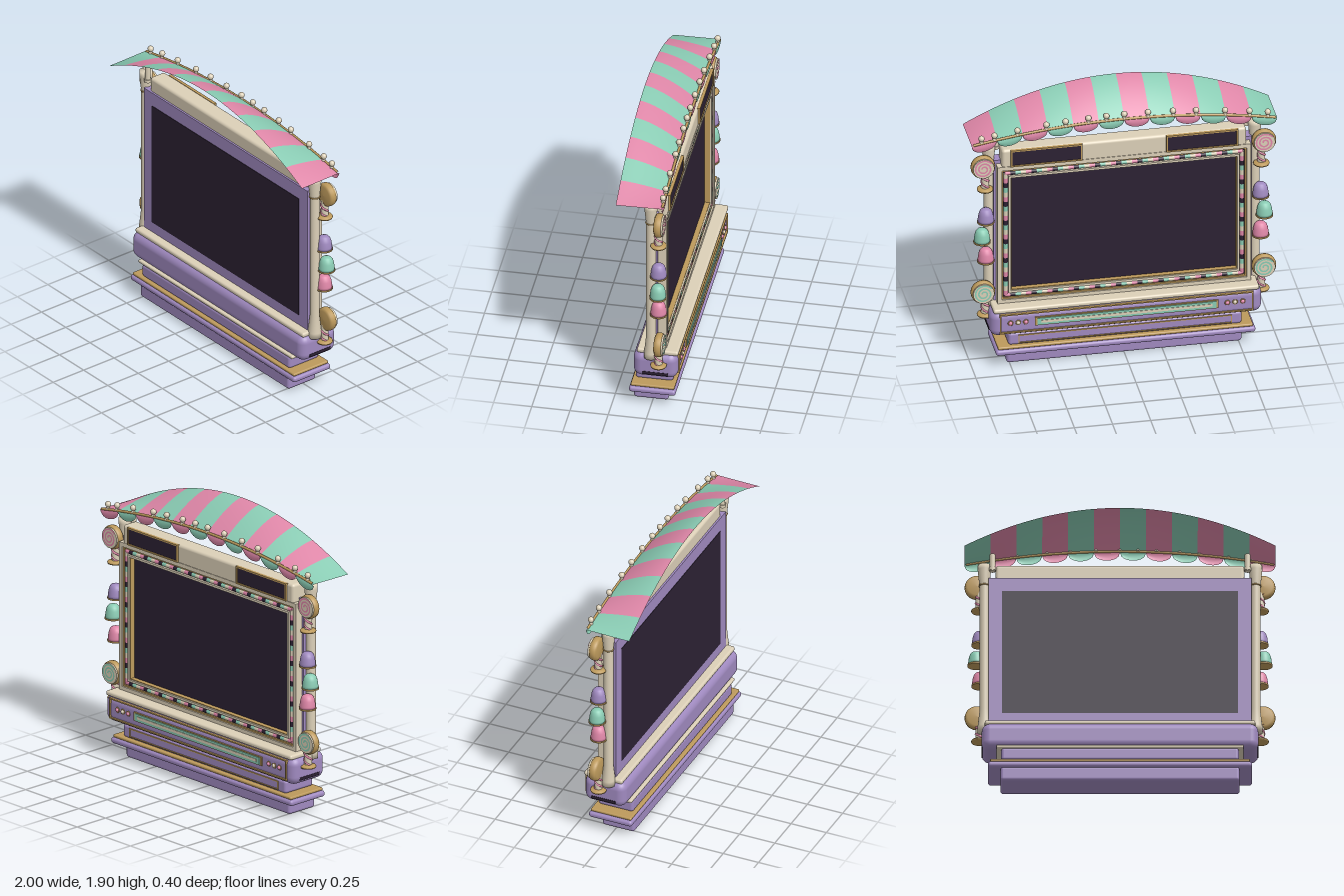
import * as THREE from 'three';
import { RoundedBoxGeometry } from 'three/addons/geometries/RoundedBoxGeometry.js';

const mat = (name, color, side = THREE.FrontSide) => {
  const m = new THREE.MeshStandardMaterial({ color, side });
  m.name = name;
  return m;
};

export function createModel() {
  const root = new THREE.Group();
  const purple = mat('lavender', 0xa08ac0);
  const cream = mat('cream', 0xdcd0b8);
  const gold = mat('gold', 0xbd9a5c);
  const dark = mat('dark plum', 0x2c2133);
  const pink = mat('pink', 0xdf87a8, THREE.DoubleSide);
  const green = mat('mint', 0x8accb4, THREE.DoubleSide);

  const add = (name, geo, material, x = 0, y = 0, z = 0, parent = root) => {
    const m = new THREE.Mesh(geo, material);
    m.name = name;
    m.position.set(x, y, z);
    parent.add(m);
    return m;
  };
  // box from half width, y range and z range, with rounded edges when r > 0
  const block = (name, material, hw, y0, y1, z0, z1, r = 0, x = 0) => {
    const s = [hw * 2, y1 - y0, z1 - z0];
    const geo = r ? new RoundedBoxGeometry(...s, 4, r) : new THREE.BoxGeometry(...s);
    return add(name, geo, material, x, (y0 + y1) / 2, (z0 + z1) / 2);
  };
  const lathe = (pts, n = 32) => new THREE.LatheGeometry(pts.map(p => new THREE.Vector2(...p)), n);
  const cyl = (rt, rb, h, n = 24) => new THREE.CylinderGeometry(rt, rb, h, n);

  // rectangular ring of border width w, from z0 (back) to z1
  const ring = (name, material, cx, cy, hw, hh, w, z0, z1) => {
    const rect = (P, a, b) => new P().moveTo(-a, -b).lineTo(a, -b).lineTo(a, b).lineTo(-a, b).closePath();
    const s = rect(THREE.Shape, hw, hh);
    s.holes.push(rect(THREE.Path, hw - w, hh - w));
    add(name, new THREE.ExtrudeGeometry(s, { depth: z1 - z0, bevelEnabled: false }), material, cx, cy, z0);
  };

  // stepped base
  block('baseFoot', purple, 0.77, 0, 0.1, -0.1, 0.128, 0.02);
  block('baseStep', purple, 0.85, 0.09, 0.13, -0.16, 0.145, 0.018);
  block('baseGoldTrim', gold, 0.835, 0.13, 0.15, -0.15, 0.135, 0.008);
  block('baseNeck', purple, 0.765, 0.148, 0.238, -0.13, 0.117, 0.02);
  block('neckTrim', cream, 0.795, 0.235, 0.257, -0.12, 0.12, 0.008);
  ring('neckGoldOutline', gold, 0, 0.192, 0.7, 0.03, 0.007, -0.136, -0.128);

  // console
  block('console', purple, 0.89, 0.24, 0.425, -0.178, 0.112, 0.055);
  block('consoleTop', cream, 0.87, 0.415, 0.448, -0.182, 0.088, 0.014);
  ring('consoleGoldOutline', gold, 0, 0.34, 0.83, 0.07, 0.009, -0.188, -0.17);
  block('stripBorder', gold, 0.6, 0.312, 0.372, -0.187, -0.172);
  block('strip', green, 0.585, 0.318, 0.366, -0.193, -0.184);
  block('stripInset', cream, 0.56, 0.333, 0.351, -0.196, -0.19);
  for (const s of [-1, 1]) {
    [pink, cream, pink].forEach((m, i) => {
      const x = s * (0.66 + i * 0.05);
      add('consoleButton', new THREE.SphereGeometry(0.014, 16, 10), m, x, 0.342, -0.18);
      add('buttonRing', new THREE.TorusGeometry(0.016, 0.003, 8, 20), gold, x, 0.342, -0.18);
    });
    block('sideVent', dark, 0.004, 0.272, 0.292, -0.12, 0.05, 0, s * 0.888);
  }

  // display body, front face and header
  block('displayBody', purple, 0.845, 0.44, 1.48, -0.045, 0.033);
  block('frontScreen', dark, 0.76, 0.52, 1.385, 0.03, 0.036);
  block('header', cream, 0.8, 1.44, 1.577, -0.097, 0.02, 0.02);
  for (const s of [-1, 1]) {
    ring('signFrame', gold, s * 0.51, 1.515, 0.235, 0.06, 0.01, -0.11, -0.09);
    block('sign', dark, 0.228, 1.462, 1.568, -0.104, -0.09, 0, s * 0.51);
  }

  // layered frame around the recessed back screen
  const cy = 0.95;
  ring('outerMoulding', cream, 0, cy, 0.83, 0.505, 0.028, -0.1, -0.04);
  ring('goldBead', gold, 0, cy, 0.803, 0.478, 0.012, -0.09, -0.04);
  ring('candyChannel', dark, 0, cy, 0.792, 0.467, 0.036, -0.075, -0.04);
  ring('innerMoulding', cream, 0, cy, 0.757, 0.432, 0.015, -0.095, -0.04);
  ring('innerGoldBead', gold, 0, cy, 0.743, 0.418, 0.006, -0.085, -0.04);
  block('backScreen', dark, 0.742, cy - 0.417, cy + 0.417, -0.052, -0.044);

  // candy segments running round the channel
  const candy = [pink, cream, green, dark];
  const candyRun = (len, place) => {
    const n = Math.round(len / 0.035), step = len / n;
    const geo = cyl(0.015, 0.015, step, 10);
    for (let i = 0; i < n; i++) place(geo, candy[i % 4], -len / 2 + (i + 0.5) * step);
  };
  for (const s of [-1, 1]) {
    candyRun(1.56, (g, m, t) => {
      add('candyTrim', g, m, t, cy + s * 0.449, -0.08).rotation.z = Math.PI / 2;
    });
    candyRun(0.9, (g, m, t) => add('candyTrim', g, m, s * 0.774, cy + t, -0.08));
  }

  // side posts with flared ends and awning pegs
  const post = lathe([[0, 0.4], [0.046, 0.4], [0.044, 0.44], [0.031, 0.56], [0.031, 1.43], [0.033, 1.45],
    [0.043, 1.55], [0.043, 1.583], [0, 1.583]]);
  for (const s of [-1, 1]) {
    add('post', post, cream, s * 0.872, 0, -0.006);
    add('postBand', new THREE.TorusGeometry(0.032, 0.005, 8, 24), gold, s * 0.872, 1.44, -0.006).rotation.x = Math.PI / 2;
    add('awningPeg', cyl(0.018, 0.018, 0.12), cream, s * 0.82, 1.59, 0.02);
    add('awningPegCollar', cyl(0.024, 0.024, 0.02), cream, s * 0.82, 1.545, 0.02);
  }

  // flat spiral ribbon facing backwards
  const spiral = (() => {
    const N = 60, turns = 2.4, a = [], b = [];
    for (let i = 0; i <= N; i++) {
      const t = i / N, th = t * turns * Math.PI * 2, r = 0.006 + t * 0.052;
      a.push(new THREE.Vector2(Math.cos(th) * (r + 0.011), Math.sin(th) * (r + 0.011)));
      b.push(new THREE.Vector2(Math.cos(th) * r, Math.sin(th) * r));
    }
    return new THREE.ShapeGeometry(new THREE.Shape([...a, ...b.reverse()]));
  })();

  const disc = lathe([[0, -0.025], [0.065, -0.025], [0.077, -0.018], [0.08, 0], [0.077, 0.018], [0.06, 0.027], [0, 0.03]], 40);
  const lollipop = (x, y, swirl) => {
    const g = new THREE.Group();
    g.name = 'lollipop';
    g.position.set(x, y, -0.068);
    root.add(g);
    add('lollipopShell', disc, gold, 0, 0, 0, g).rotation.x = Math.PI / 2;
    add('lollipopFace', cyl(0.069, 0.069, 0.012, 40), cream, 0, 0, -0.028, g).rotation.x = Math.PI / 2;
    add('lollipopSwirl', spiral, swirl, 0, 0, -0.036, g);
    // twisted stick on a small gold foot
    const sx = -Math.sign(x) * 0.015;
    add('stick', cyl(0.022, 0.026, 0.13), cream, sx, -0.105, 0.006, g);
    for (const ph of [0, Math.PI]) {
      const pts = Array.from({ length: 13 }, (_, i) => {
        const a = ph + i * 0.6;
        return new THREE.Vector3(Math.cos(a) * 0.023, -0.16 + i * 0.009, Math.sin(a) * 0.023);
      });
      const path = new THREE.CatmullRomCurve3(pts);
      add('stickStripe', new THREE.TubeGeometry(path, 30, 0.007, 6), pink, sx, 0, 0.006, g);
    }
    add('stickFoot', lathe([[0, -0.008], [0.05, -0.008], [0.053, 0], [0.05, 0.006], [0.03, 0.014], [0, 0.014]]),
      gold, sx, -0.168, 0.006, g);
  };

  // gumdrops
  const drop = lathe([[0, 0], [0.053, 0], [0.052, 0.02], [0.047, 0.055], [0.04, 0.077], [0.03, 0.089], [0.015, 0.095], [0, 0.096]]);
  for (const s of [-1, 1]) {
    lollipop(s * 0.92, 1.455, pink);
    lollipop(s * 0.92, 0.53, green);
    [[purple, 0.9, 1.045], [green, 0.925, 0.9], [pink, 0.9, 0.755]].forEach(([m, x, y]) => {
      add('gumdrop', drop, m, s * x, y, -0.062);
      add('gumdropRim', cyl(0.056, 0.056, 0.01, 32), gold, s * x, y, -0.062);
    });
  }

  // open surface from a rule p(u, v) -> [x, y, z]
  const surface = (p, nu, nv) => {
    const geo = new THREE.PlaneGeometry(1, 1, nu, nv), a = geo.attributes.position;
    for (let i = 0; i < a.count; i++) a.setXYZ(i, ...p(a.getX(i) + 0.5, 0.5 - a.getY(i)));
    geo.computeVertexNormals();
    return geo;
  };

  // striped awning, low at the back rail and flaring up at the front
  const yBack = x => 1.635 + 0.095 * (1 - x * x);
  const yFront = x => 1.63 + 0.268 * (1 - x * x);
  const W = 1 / 6;
  for (let i = 0; i < 12; i++) {
    const x0 = -1 + i * W, m = i % 2 ? pink : green;
    add('awningStripe', surface((u, v) => {
      const x = x0 + u * W, k = Math.pow(1 - v, 1.5);
      return [x, yFront(x) + (yBack(x) - yFront(x)) * k, 0.2 - 0.3 * (1 - v)];
    }, 8, 12), m);
    add('scallop', surface((u, v) => {
      const x = x0 + u * W, c = 2 * u - 1;
      return [x, yBack(x) - v * (0.012 + 0.054 * Math.sqrt(Math.max(0, 1 - c * c))), -0.1 - 0.008 * Math.sin(v * Math.PI)];
    }, 16, 4), m);
  }

  // gold rail with cream beads along the back edge
  const rail = new THREE.CatmullRomCurve3(Array.from({ length: 17 }, (_, i) => {
    const x = -0.99 + i * 0.12375;
    return new THREE.Vector3(x, yBack(x), -0.102);
  }));
  add('awningRail', new THREE.TubeGeometry(rail, 60, 0.009, 8), gold);
  const bead = new THREE.SphereGeometry(0.02, 16, 12), stem = cyl(0.01, 0.014, 0.02, 12);
  for (const x of [-0.94, -0.82, -0.66, -0.47, -0.32, -0.155, 0, 0.117, 0.235, 0.385, 0.51, 0.7, 0.85, 0.935]) {
    add('railBeadStem', stem, cream, x, yBack(x) + 0.012, -0.098);
    add('railBead', bead, cream, x, yBack(x) + 0.034, -0.098);
  }
  return root;
}
